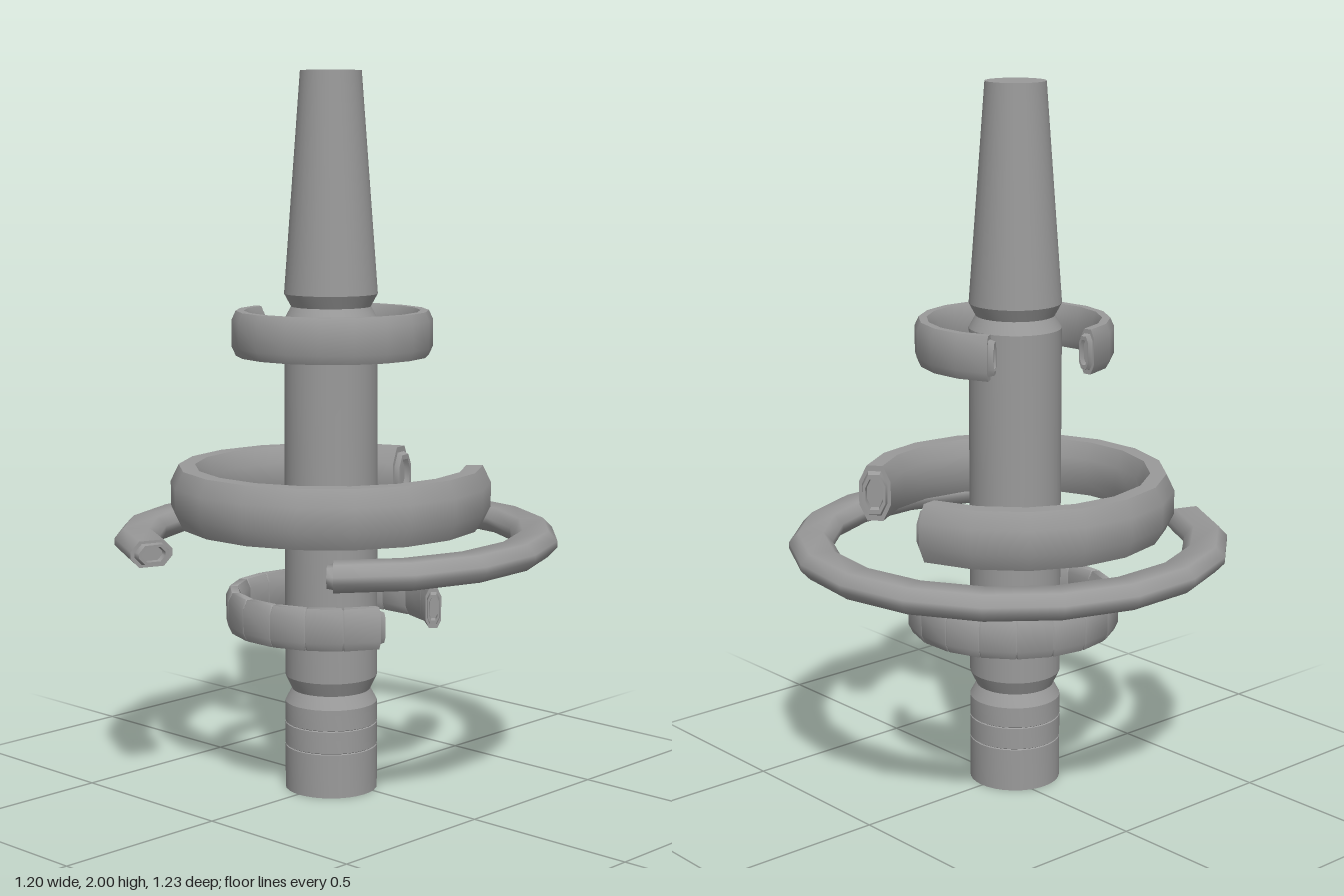
import * as THREE from 'three';
import { toCreasedNormals } from 'three/addons/utils/BufferGeometryUtils.js';

const material = new THREE.MeshStandardMaterial({ color: 0x9a9a9a });

// Open ring: an eight-sided section swept around the y axis, with stepped, hollowed end tips.
// Angles are in degrees from +x towards +z.
function openRing({ outer, inner, low, high, start, sweep, flat, side, grooves }) {
  const segments = 15;
  const r = (outer + inner) / 2, w = (outer - inner) / 2, h = (high - low) / 2;
  const section = [
    [w, -h * side], [w, h * side], [w * flat, h], [-w * flat, h],
    [-w, h * side], [-w, -h * side], [-w * flat, -h], [w * flat, -h],
  ];
  const a0 = THREE.MathUtils.degToRad(start), da = THREE.MathUtils.degToRad(sweep);
  const a1 = a0 + da, tip = 0.016 / r;

  // stations: [angle, section scale]
  const stations = [[a0, 0], [a0, 0.5], [a0 - tip, 0.55], [a0 - tip, 0.72], [a0, 0.8]];
  for (let i = 0; i <= segments; i++) {
    const a = a0 + (da * i) / segments;
    if (grooves && i > 0 && i < segments) {
      stations.push([a - 0.012, 1], [a, 0.94], [a + 0.012, 1]);
    } else stations.push([a, 1]);
  }
  stations.push([a1, 0.8], [a1 + tip, 0.72], [a1 + tip, 0.55], [a1, 0.5], [a1, 0]);

  const point = (i, k) => {
    const [a, s] = stations[i], [dr, dy] = section[k % section.length];
    return [(r + dr * s) * Math.cos(a), (low + high) / 2 + dy * s, (r + dr * s) * Math.sin(a)];
  };
  const pos = [];
  for (let i = 0; i < stations.length - 1; i++) {
    for (let k = 0; k < section.length; k++) {
      const a = point(i, k), b = point(i, k + 1), c = point(i + 1, k + 1), d = point(i + 1, k);
      if (stations[i][1] > 0) pos.push(...a, ...b, ...c);
      if (stations[i + 1][1] > 0) pos.push(...a, ...c, ...d);
    }
  }
  const g = new THREE.BufferGeometry();
  g.setAttribute('position', new THREE.Float32BufferAttribute(pos, 3));
  return toCreasedNormals(g, 0.9);
}

export function createModel() {
  const group = new THREE.Group();
  const add = (name, geometry, x, z) => {
    const mesh = new THREE.Mesh(geometry, material);
    mesh.name = name;
    mesh.position.set(x, 0, z);
    group.add(mesh);
  };

  // Central column: grooved foot, necked straight shaft, tapered top
  const R = 0.129;
  const profile = [[0, 0], [R, 0]];
  for (const y of [0.125, 0.19]) profile.push([R, y - 0.002], [R - 0.003, y], [R, y + 0.002]);
  profile.push([R, 0.25], [0.11, 0.285], [R, 0.325], [R, 1.325],
    [0.11, 1.36], [R, 1.395], [0.084, 2], [0, 2]);
  const lathe = new THREE.LatheGeometry(profile.map(([x, y]) => new THREE.Vector2(x, y)), 32);
  add('column', toCreasedNormals(lathe, 0.4), -0.042, 0.004);

  // Floating open rings, from top to bottom
  add('upperRing', openRing({
    outer: 0.277, inner: 0.232, low: 1.226, high: 1.35, start: -33, sweep: 294,
    flat: 0.5, side: 0.6,
  }), -0.045, 0.012);

  add('middleRing', openRing({
    outer: 0.446, inner: 0.355, low: 0.756, high: 0.918, start: 48, sweep: 299,
    flat: 0.5, side: 0.42,
  }), -0.036, -0.004);

  add('largeRing', openRing({
    outer: 0.619, inner: 0.497, low: 0.677, high: 0.749, start: 199, sweep: 298,
    flat: 0.58, side: 0.25,
  }), -0.016, 0);

  add('segmentedRing', openRing({
    outer: 0.302, inner: 0.258, low: 0.457, high: 0.572, start: 111, sweep: 298,
    flat: 0.5, side: 0.6, grooves: true,
  }), -0.037, 0.008);

  return group;
}
